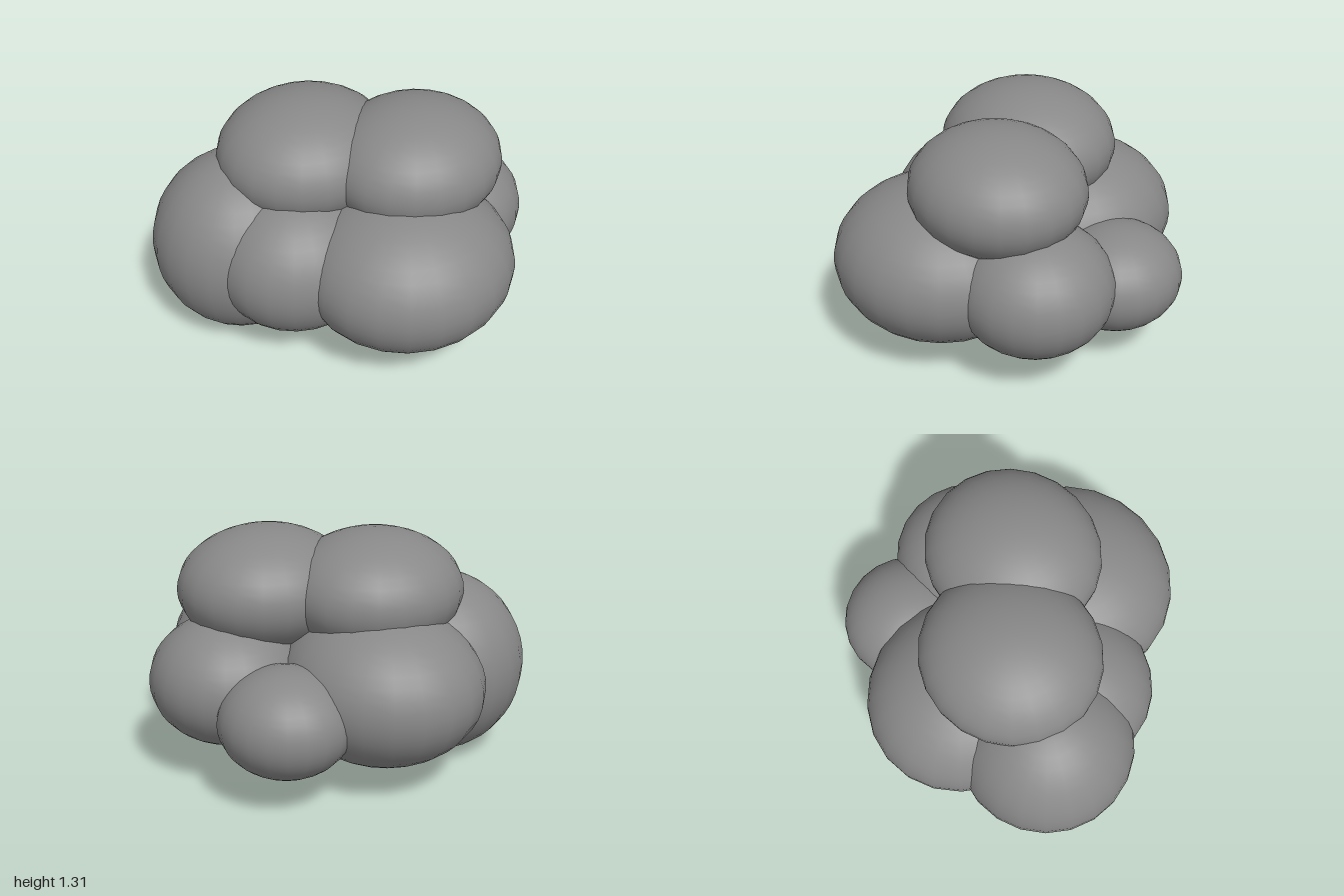
import * as THREE from 'three';

// name, centre, half sizes of each overlapping puff
const PUFFS = [
  ['frontPuff', [0.015, 0.54, 0.43], [0.59, 0.42, 0.57]],
  ['backPuff', [0.02, 0.54, -0.43], [0.53, 0.42, 0.57]],
  ['leftPuff', [0.555, 0.54, 0.19], [0.42, 0.35, 0.42]],
  ['leftBackSmallPuff', [0.59, 0.46, -0.31], [0.35, 0.285, 0.36]],
  ['rightBackPuff', [-0.49, 0.51, -0.36], [0.49, 0.51, 0.485]],
  ['rightFrontPuff', [-0.36, 0.53, -0.02], [0.48, 0.41, 0.45]],
  ['topBackPuff', [-0.125, 0.985, -0.225], [0.495, 0.325, 0.47]],
  ['topFrontPuff', [0.25, 0.985, 0.22], [0.49, 0.325, 0.46]],
];

export function createModel() {
  const model = new THREE.Group();
  model.name = 'cloud';

  const cloudGrey = new THREE.MeshStandardMaterial({ color: 0x888888 });
  cloudGrey.name = 'cloudGrey';

  // One shared smooth sphere, stretched into each puff
  const sphere = new THREE.SphereGeometry(1, 22, 22);
  for (const [name, centre, halfSize] of PUFFS) {
    const puff = new THREE.Mesh(sphere, cloudGrey);
    puff.name = name;
    puff.position.set(...centre);
    puff.scale.set(...halfSize);
    model.add(puff);
  }
  return model;
}
